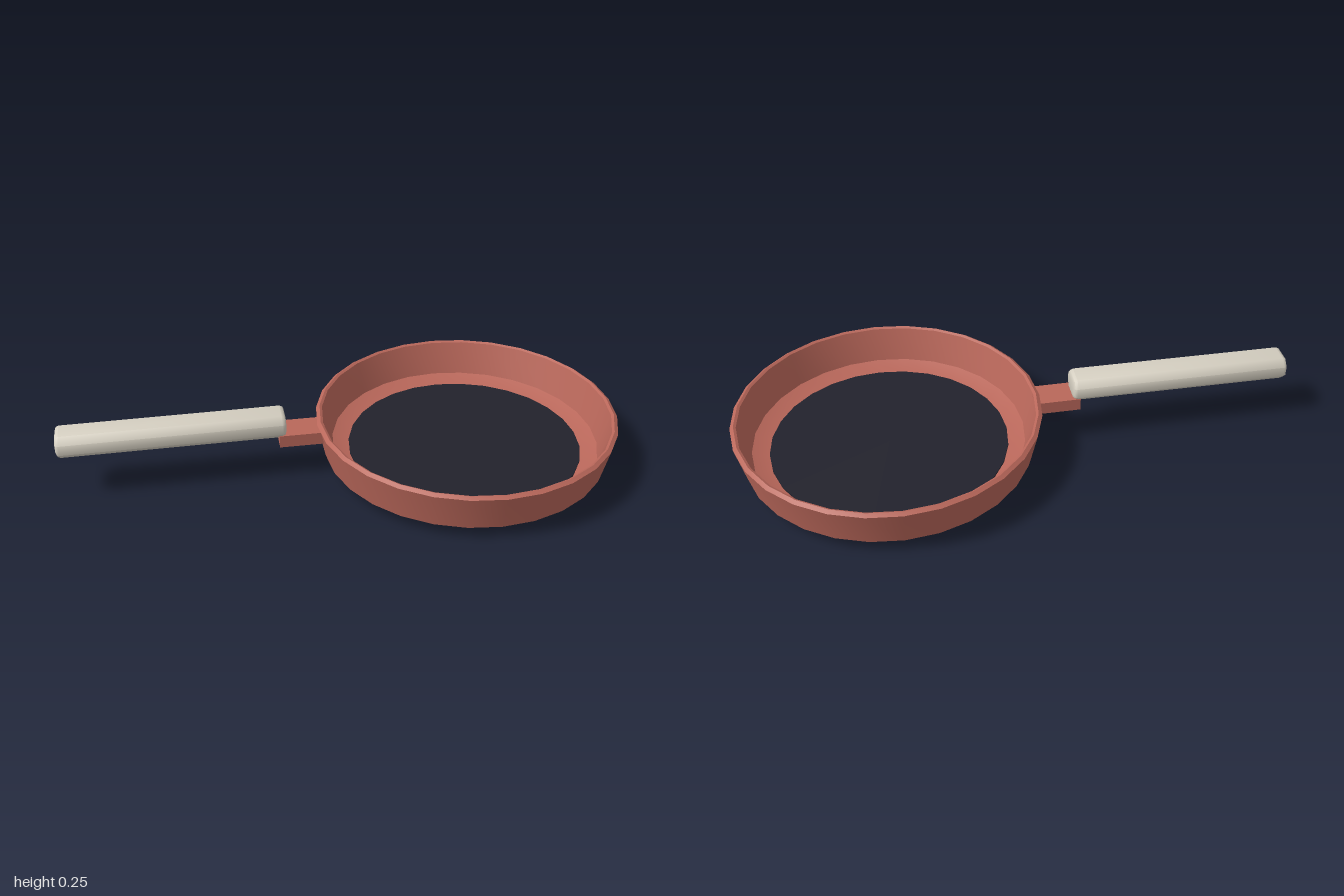
import * as THREE from 'three';
import { toCreasedNormals } from 'three/addons/utils/BufferGeometryUtils.js';

const PAN_X = 0.455;
const SIDES = 28;

// Rectangle with cut corners, centred on the origin
function chamferedRect(w, h, c) {
  const x = w / 2, y = h / 2;
  return new THREE.Shape([
    [-x + c, -y], [x - c, -y], [x, -y + c], [x, y - c],
    [x - c, y], [-x + c, y], [-x, y - c], [-x, -y + c],
  ].map(([a, b]) => new THREE.Vector2(a, b)));
}

export function createModel() {
  const red = new THREE.MeshStandardMaterial({ name: 'terracotta red', color: 0xb9675a });
  const cream = new THREE.MeshStandardMaterial({ name: 'cream', color: 0xd6d0c2 });
  const dark = new THREE.MeshStandardMaterial({ name: 'dark coating', color: 0x22222c });

  const group = new THREE.Group();
  group.name = 'fryingPan';
  const add = (name, geometry, material, x, y, z) => {
    const mesh = new THREE.Mesh(geometry, material);
    mesh.name = name;
    mesh.position.set(x, y, z);
    group.add(mesh);
    return mesh;
  };

  // Pan body: underside, bevel, flared wall, rim, inner wall and floor
  const profile = [
    [0, 0], [0.44, 0], [0.515, 0.045], [0.545, 0.178], [0.532, 0.187],
    [0.523, 0.182], [0.485, 0.063], [0.425, 0.04], [0, 0.04],
  ].map(([r, y]) => new THREE.Vector2(r, y));
  add('panBody', toCreasedNormals(new THREE.LatheGeometry(profile, SIDES), 0.6), red, PAN_X, 0, 0);

  // Cooking surface: thin dark disc on the floor
  add('cookingSurface', new THREE.CylinderGeometry(0.425, 0.425, 0.006, SIDES), dark, PAN_X, 0.043, 0);

  // Bracket joining the wall to the handle
  add('handleBracket', new THREE.BoxGeometry(0.165, 0.046, 0.106), red, -0.1475, 0.155, 0);

  // Grip: chamfered bar with bevelled ends, laid along x
  const bevel = 0.014;
  const length = 0.795;
  const grip = new THREE.ExtrudeGeometry(chamferedRect(0.122 - 2 * bevel, 0.086 - 2 * bevel, 0.016), {
    depth: length - 2 * bevel, bevelEnabled: true, bevelThickness: bevel, bevelSize: bevel, bevelSegments: 2,
  });
  grip.translate(0, 0, bevel - length / 2);
  grip.rotateY(Math.PI / 2);
  add('handle', toCreasedNormals(grip, 0.85), cream, -1 + length / 2, 0.206, 0).rotation.z = 0.005;

  return group;
}
